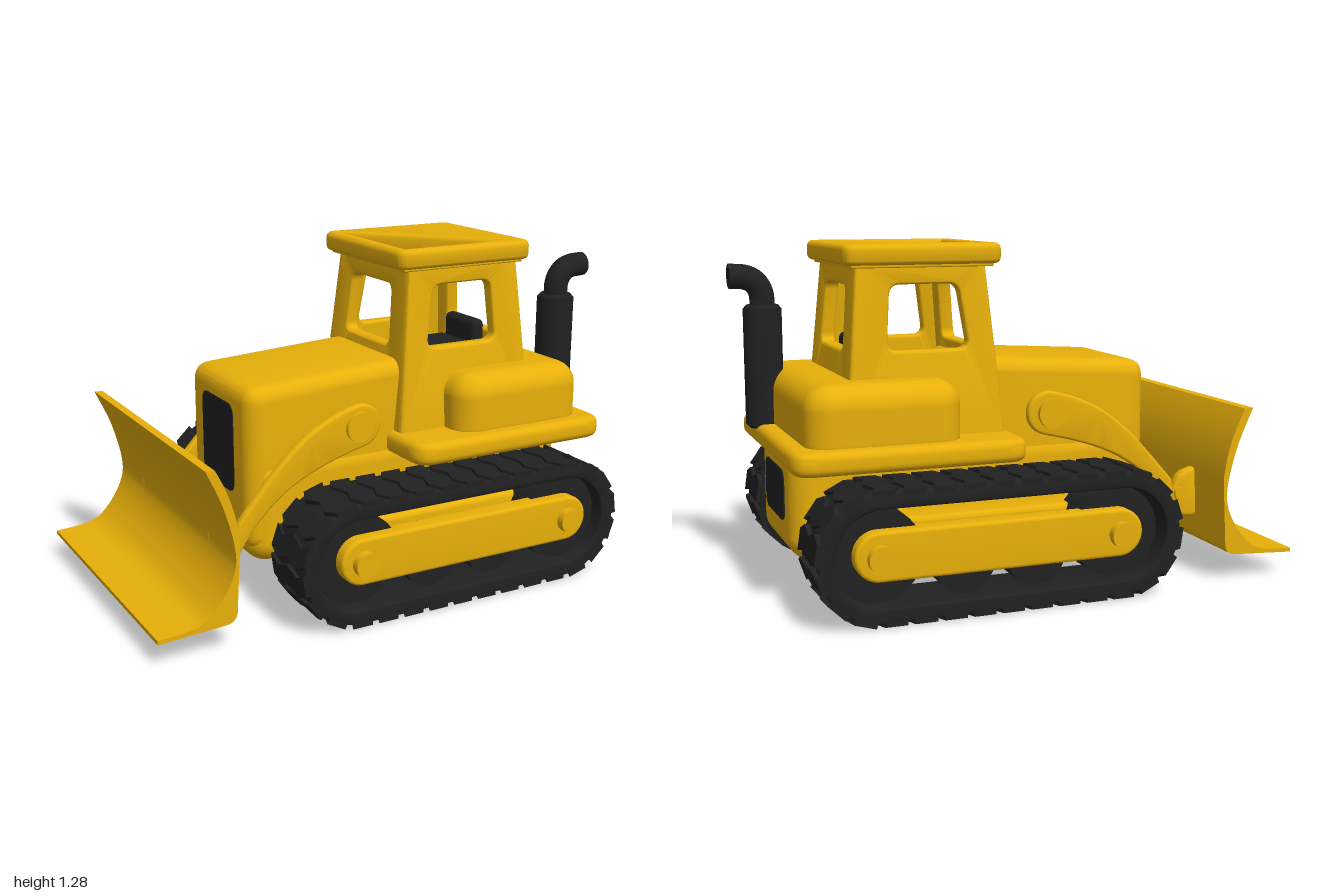
import * as THREE from 'three';
import { mergeGeometries, toCreasedNormals } from 'three/addons/utils/BufferGeometryUtils.js';
import { RoundedBoxGeometry } from 'three/addons/geometries/RoundedBoxGeometry.js';

const yellow = new THREE.MeshStandardMaterial({ color: 0xe8b00a });
yellow.name = 'machine yellow';
const black = new THREE.MeshStandardMaterial({ color: 0x212121 });
black.name = 'rubber black';

// Shape helpers
const vectors = (pts) => pts.map(([x, y]) => new THREE.Vector2(x, y));
const polygon = (pts, Type = THREE.Shape) => new Type(vectors(pts));

function roundPolygon(pts, r, Type = THREE.Shape) {
  const s = new Type();
  const v = vectors(pts);
  v.forEach((p, i) => {
    const prev = v[(i + v.length - 1) % v.length], next = v[(i + 1) % v.length];
    const a = p.clone().add(prev.clone().sub(p).setLength(r));
    const b = p.clone().add(next.clone().sub(p).setLength(r));
    if (i) s.lineTo(a.x, a.y); else s.moveTo(a.x, a.y);
    s.quadraticCurveTo(p.x, p.y, b.x, b.y);
  });
  s.closePath();
  return s;
}

function stadium(x0, x1, y, r, Type = THREE.Shape) {
  const s = new Type();
  s.absarc(x1, y, r, -Math.PI / 2, Math.PI / 2, false);
  s.absarc(x0, y, r, Math.PI / 2, Math.PI * 1.5, false);
  s.closePath();
  return s;
}

// Extrudes from z0 to z1 with rounded edges that stay inside the outline
function slab(shape, z0, z1, bevel = 0) {
  const g = new THREE.ExtrudeGeometry(shape, {
    depth: z1 - z0 - 2 * bevel, curveSegments: 16, bevelEnabled: bevel > 0,
    bevelThickness: bevel, bevelSize: bevel, bevelOffset: -bevel, bevelSegments: 5,
  });
  return toCreasedNormals(g.translate(0, 0, z0 + bevel), 0.6);
}

// Lays a plan-view outline flat between two heights
const flatSlab = (shape, y0, y1, bevel) => slab(shape, -y1, -y0, bevel).rotateX(Math.PI / 2);

// Leans an upright wall along one axis, starting at deck height
function lean(g, axis, amount) {
  const p = g.attributes.position;
  for (let i = 0; i < p.count; i++) {
    const d = amount * (p.getY(i) - 0.59);
    if (axis === 'x') p.setX(i, p.getX(i) + d); else p.setZ(i, p.getZ(i) + d);
  }
  return toCreasedNormals(g, 0.6);
}

export function createModel() {
  const model = new THREE.Group();
  model.name = 'bulldozer';
  const add = (name, geometry, material = yellow, parent = model) => {
    const m = new THREE.Mesh(geometry, material);
    m.name = name;
    parent.add(m);
    return m;
  };
  const roundBox = (name, x0, x1, y0, y1, z0, z1, r, material) => {
    const m = add(name, new RoundedBoxGeometry(x1 - x0, y1 - y0, z1 - z0, 5, r), material);
    m.position.set((x0 + x1) / 2, (y0 + y1) / 2, (z0 + z1) / 2);
  };
  const disc = (name, x, y, r, z0, z1, material, parent) => {
    const g = new THREE.CylinderGeometry(r, r, z1 - z0, 32).rotateX(Math.PI / 2);
    add(name, g, material, parent).position.set(x, y, (z0 + z1) / 2);
  };

  // Hull, hood, deck and rear housing
  roundBox('hull', -0.51, 0.885, 0.145, 0.56, -0.275, 0.275, 0.085);
  add('hood', slab(roundPolygon([[-0.52, 0.2], [0.2, 0.2], [0.2, 0.865], [-0.52, 0.82]], 0.065),
    -0.265, 0.265, 0.06));
  add('deck', flatSlab(roundPolygon([[0.06, -0.5], [0.92, -0.5], [0.92, 0.5], [0.06, 0.5]], 0.08),
    0.505, 0.59, 0.03));
  roundBox('rearHousing', 0.285, 0.855, 0.51, 0.805, -0.44, 0.44, 0.09);

  // Black panels on both ends
  const panel = (w, y0, y1) => roundPolygon([[-w, y0], [w, y0], [w, y1], [-w, y1]], 0.05);
  add('rearPanel', slab(panel(0.16, 0.28, 0.47), 0.883, 0.89).rotateY(Math.PI / 2), black);
  add('frontGrille', slab(panel(0.14, 0.4, 0.74), 0.516, 0.523).rotateY(-Math.PI / 2), black);

  // Cab walls with window openings, leaning inward towards the roof
  const sideWall = polygon([[0.09, 0.57], [0.69, 0.57], [0.635, 1.225], [0.15, 1.225]]);
  sideWall.holes.push(roundPolygon([[0.22, 0.9], [0.53, 0.9], [0.512, 1.135], [0.255, 1.135]], 0.04, THREE.Path));
  add('cabWallNear', lean(slab(sideWall, 0.265, 0.32, 0.012), 'z', -0.09));
  add('cabWallFar', lean(slab(sideWall, -0.32, -0.265, 0.012), 'z', 0.09));
  const endWall = polygon([[-0.31, 0.57], [0.31, 0.57], [0.255, 1.225], [-0.255, 1.225]]);
  endWall.holes.push(roundPolygon([[-0.165, 0.9], [0.165, 0.9], [0.145, 1.13], [-0.145, 1.13]], 0.035, THREE.Path));
  add('cabWallFront', lean(slab(endWall, -0.145, -0.09, 0.012).rotateY(-Math.PI / 2), 'x', 0.095));
  add('cabWallRear', lean(slab(endWall, 0.635, 0.69, 0.012).rotateY(Math.PI / 2), 'x', -0.085));

  // Seat
  roundBox('seatCushion', 0.36, 0.57, 0.78, 0.85, -0.13, 0.13, 0.03, black);
  roundBox('seatBack', 0.555, 0.61, 0.78, 0.94, -0.11, 0.11, 0.025, black);

  // Roof with a three-cornered recess
  const roof = roundPolygon([[0.09, -0.305], [0.685, -0.305], [0.685, 0.305], [0.09, 0.305]], 0.05);
  roof.holes.push(polygon([[0.145, -0.25], [0.145, 0.25], [0.625, 0.25]], THREE.Path));
  add('roof', flatSlab(roof, 1.205, 1.28, 0.022));
  roundBox('ceiling', 0.12, 0.655, 1.195, 1.215, -0.28, 0.28, 0.005);
  add('roofHatch', flatSlab(roundPolygon([[0.21, -0.01], [0.25, -0.04], [0.32, -0.03], [0.33, 0.2], [0.2, 0.19]], 0.015),
    1.213, 1.219), black);

  // Exhaust stack with a bent outlet
  const muffler = vectors([[0, 0.57], [0.06, 0.57], [0.073, 0.585], [0.073, 1.025], [0.06, 1.04], [0, 1.04]]);
  add('exhaustMuffler', new THREE.LatheGeometry(muffler, 32), black).position.set(0.875, 0, 0.215);
  const pipe = new THREE.CurvePath();
  const P = (x, y) => new THREE.Vector3(x, y, 0.215);
  pipe.add(new THREE.LineCurve3(P(0.875, 1.02), P(0.875, 1.07)));
  pipe.add(new THREE.QuadraticBezierCurve3(P(0.875, 1.07), P(0.885, 1.14), P(0.955, 1.148)));
  pipe.add(new THREE.LineCurve3(P(0.955, 1.148), P(1, 1.15)));
  add('exhaustPipe', new THREE.TubeGeometry(pipe, 28, 0.047, 24), black);
  add('exhaustOutlet', new THREE.CircleGeometry(0.047, 24).rotateY(Math.PI / 2), black)
    .position.set(0.999, 1.15, 0.215);

  // Blade
  const blade = new THREE.Shape();
  blade.moveTo(-1, 0.085);
  blade.lineTo(-0.75, 0.1);
  blade.quadraticCurveTo(-0.71, 0.105, -0.708, 0.14);
  blade.lineTo(-0.693, 0.39);
  blade.quadraticCurveTo(-0.705, 0.53, -0.778, 0.66);
  blade.lineTo(-0.812, 0.662);
  blade.splineThru(vectors([[-0.75, 0.52], [-0.712, 0.37], [-0.718, 0.28], [-0.77, 0.185], [-0.85, 0.118], [-1, 0.1]]));
  add('blade', slab(blade, -0.568, 0.568));

  // Push arm and the bracket that joins it to the blade
  const arm = new THREE.Shape();
  arm.moveTo(-0.63, 0.21);
  arm.bezierCurveTo(-0.5, 0.42, -0.38, 0.5, -0.08, 0.565);
  arm.absarc(-0.095, 0.647, 0.083, -Math.PI / 2 + 0.2, Math.PI / 2 + 0.2, false);
  arm.bezierCurveTo(-0.33, 0.68, -0.42, 0.58, -0.61, 0.36);
  arm.closePath();
  const bracket = roundPolygon([[-0.71, 0.2], [-0.62, 0.21], [-0.59, 0.3], [-0.63, 0.38], [-0.71, 0.405]], 0.03);

  // Broad, low tread lugs follow the track outline
  const lugShape = polygon([[-0.04, -0.125], [-0.04, 0.125], [0.04, 0.125], [0.065, 0.07], [0.04, 0],
    [0.065, -0.07], [0.04, -0.125]]);
  lugShape.curves.splice(0, 1, ...polygon([[-0.04, -0.125], [-0.015, -0.07], [-0.04, 0], [-0.015, 0.07], [-0.04, 0.125]]).curves);
  const X0 = -0.25, X1 = 0.65, Y = 0.24, R = 0.226;
  const lugs = [], count = 30, run = X1 - X0, arc = Math.PI * R;
  for (let i = 0; i < count; i++) {
    let s = (i / count) * 2 * (run + arc), x, a;
    if (s < run) { x = X1 - s; a = Math.PI / 2; }
    else if ((s -= run) < arc) { x = X0; a = Math.PI / 2 + s / R; }
    else if ((s -= arc) < run) { x = X0 + s; a = -Math.PI / 2; }
    else { x = X1; a = -Math.PI / 2 + (s - run) / R; }
    const n = new THREE.Vector3(Math.cos(a), Math.sin(a), 0);
    const m = new THREE.Matrix4().makeBasis(new THREE.Vector3(-n.y, n.x, 0), new THREE.Vector3(0, 0, 1), n);
    m.setPosition(x + n.x * R, Y + n.y * R, 0.505);
    lugs.push(slab(lugShape, -0.014, 0.011).applyMatrix4(m));
  }
  const lugGeometry = mergeGeometries(lugs);
  const belt = stadium(X0, X1, Y, R);
  belt.holes.push(stadium(X0, X1, Y, 0.172, THREE.Path));
  const beltGeometry = slab(belt, 0.378, 0.63, 0.008);

  // Arm and track unit, mirrored for the far side
  for (const side of [1, -1]) {
    const unit = new THREE.Group();
    unit.name = side > 0 ? 'nearSide' : 'farSide';
    unit.scale.z = side;
    model.add(unit);
    add('pushArm', slab(arm, 0.285, 0.322, 0.012), yellow, unit).rotation.y = 0.04;
    add('bladeBracket', slab(bracket, 0.3, 0.35, 0.015), yellow, unit);
    disc('armPivot', -0.095, 0.647, 0.057, 0.25, 0.342, yellow, unit);
    disc('bracketPin', -0.63, 0.3, 0.025, 0.295, 0.362, yellow, unit);
    add('trackBelt', beltGeometry, black, unit);
    add('treadLugs', lugGeometry, black, unit);
    add('innerFrame', slab(stadium(-0.24, 0.66, 0.24, 0.095), 0.24, 0.47, 0.02), yellow, unit);
    add('sideRail', slab(stadium(-0.24, 0.66, 0.245, 0.088), 0.54, 0.62, 0.012), yellow, unit);
    for (const x of [-0.24, 0.66]) {
      disc('endWheel', x, 0.24, 0.168, 0.42, 0.57, black, unit);
      disc('hubCap', x, 0.243, 0.047, 0.6, 0.652, yellow, unit);
    }
    for (const x of [0.07, 0.34]) disc('roadWheel', x, 0.185, 0.112, 0.42, 0.57, black, unit);
  }
  return model;
}
